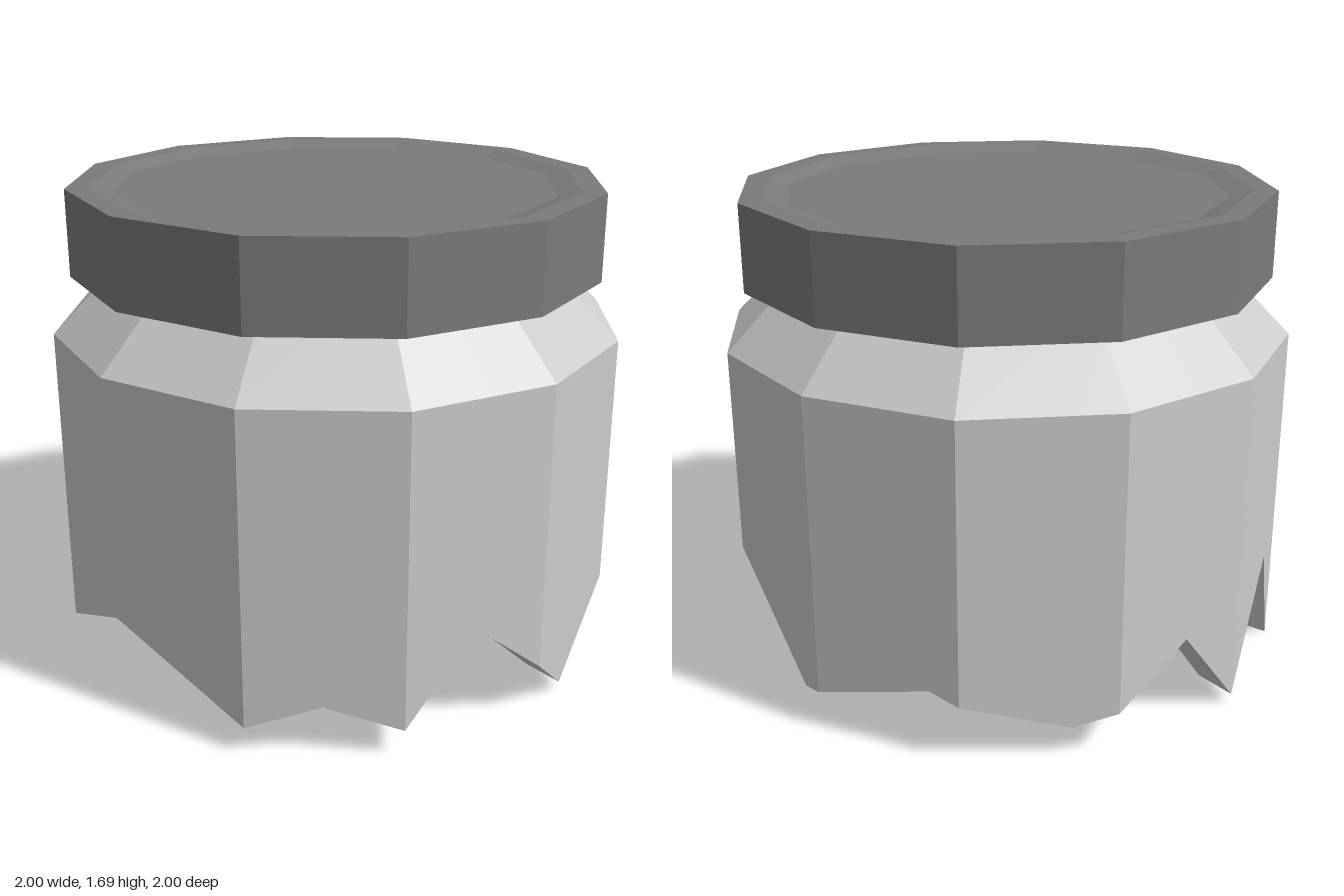
import * as THREE from 'three';

const SIDES = 12;

// Point on the 12-sided outline; t counts corners from the front towards +x
function outline(t, radius, y) {
  const corner = (k) => {
    const a = (k / SIDES) * Math.PI * 2;
    return new THREE.Vector3(Math.sin(a) * radius, y, Math.cos(a) * radius);
  };
  const k = Math.floor(t);
  return corner(k).lerp(corner(k + 1), t - k);
}

// Broken lower edge: [position along the outline, height]
const brokenEdge = [
  [0, 0.35], [1, 0.105], [1.49, 0.19], [2, 0.11], [2.5, 0.41], [3, 0.2],
  [3.36, 0.04], [4, 0.31], [5, 0.48], [5.83, 0.13], [6, 0.15], [6.8, 0.26],
  [7, 0.225], [7.7, 0.125], [8, 0.165], [8.55, 0.34], [9, 0.04],
  [9.75, 0.39], [10, 0.01], [10.78, 0.45], [11, 0.11],
];

// Thick glass wall: one closed cross-section per point of the broken edge
function jarGeometry() {
  const sections = brokenEdge.map(([t, y]) => [
    outline(t, 1, y),
    outline(t, 1, 1.2),
    outline(t, 0.8, 1.4),
    outline(t, 0.68, 1.38),
    outline(t, 0.87, 1.16),
    outline(t, 0.87, y + Math.max(0, 0.1 - y) * 0.4),
  ]);
  const points = [];
  sections.forEach((near, j) => {
    const next = sections[(j + 1) % sections.length];
    near.forEach((a, i) => {
      const up = (i + 1) % near.length;
      points.push(a, next[i], next[up], a, next[up], near[up]);
    });
  });
  const geometry = new THREE.BufferGeometry().setFromPoints(points);
  geometry.computeVertexNormals();
  return geometry;
}

export function createModel() {
  const group = new THREE.Group();
  group.name = 'brokenJar';

  const jar = new THREE.Mesh(
    jarGeometry(),
    new THREE.MeshStandardMaterial({ color: 0xcccccc, flatShading: true })
  );
  jar.name = 'jarBody';

  // Lid with a shallow recess in the top
  const lidProfile = [
    [0, 1.4], [0.93, 1.4], [0.93, 1.7], [0.85, 1.7], [0.77, 1.68], [0, 1.68],
  ].map(([r, y]) => new THREE.Vector2(r, y));
  const lid = new THREE.Mesh(
    new THREE.LatheGeometry(lidProfile, SIDES),
    new THREE.MeshStandardMaterial({ color: 0x7b7b7b, flatShading: true })
  );
  lid.name = 'lid';

  group.add(jar, lid);
  return group;
}
